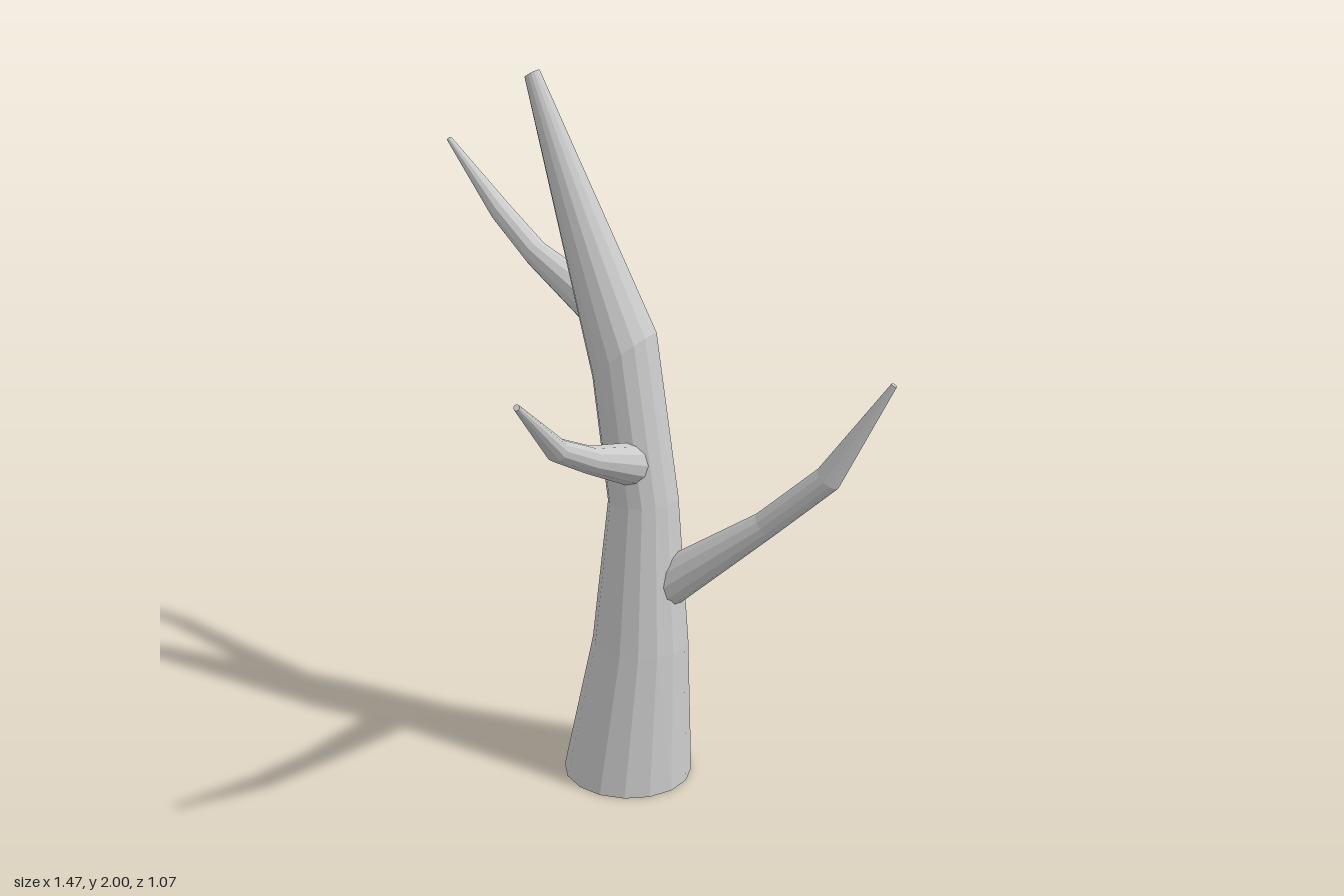
import * as THREE from 'three';

const V = (x, y, z) => new THREE.Vector3(x, y, z);
const bark = new THREE.MeshStandardMaterial({ color: 0xcccccc, flatShading: true, side: THREE.DoubleSide });

// Skin a list of rings { c: centre, u, v: half axes }, open at the start, capped at the tip
function loft(name, rings, sides) {
  const pos = [], idx = [];
  for (const { c, u, v } of rings) {
    for (let i = 0; i < sides; i++) {
      const a = (i / sides) * Math.PI * 2;
      const p = c.clone().addScaledVector(u, Math.cos(a)).addScaledVector(v, Math.sin(a));
      pos.push(p.x, p.y, p.z);
    }
  }
  for (let r = 0; r < rings.length - 1; r++) {
    for (let i = 0; i < sides; i++) {
      const j = (i + 1) % sides, a = r * sides, b = a + sides;
      idx.push(a + i, b + i, a + j, a + j, b + i, b + j);
    }
  }
  const last = (rings.length - 1) * sides;
  for (let i = 1; i < sides - 1; i++) idx.push(last, last + i + 1, last + i);
  const geo = new THREE.BufferGeometry();
  geo.setAttribute('position', new THREE.Float32BufferAttribute(pos, 3));
  geo.setIndex(idx);
  geo.computeVertexNormals();
  const mesh = new THREE.Mesh(geo, bark);
  mesh.name = name;
  return mesh;
}

// Tapered limb along points [x, y, z, radius], each ring square to the local direction
function branch(name, pts) {
  const c = pts.map(([x, y, z]) => V(x, y, z));
  const rings = c.map((p, i) => {
    const prev = c[Math.max(i - 1, 0)], next = c[Math.min(i + 1, c.length - 1)];
    const t = p.clone().sub(prev).normalize().add(next.clone().sub(p).normalize()).normalize();
    const u = V(0, 1, 0).cross(t).normalize();
    const v = u.clone().cross(t);
    return { c: p, u: u.multiplyScalar(pts[i][3]), v: v.multiplyScalar(pts[i][3]) };
  });
  return loft(name, rings, 12);
}

export function createModel() {
  const tree = new THREE.Group();
  tree.name = 'bareTree';

  // Trunk rings: left end x, y, right end x, y, half depth
  const trunk = [
    [-0.187, 0, 0.187, 0, 0.187],
    [-0.1, 0.424, 0.173, 0.424, 0.138],
    [-0.058, 0.843, 0.138, 0.86, 0.097],
    [-0.106, 1.19, 0.064, 1.325, 0.096],
    [-0.315, 1.978, -0.276, 2, 0.022],
  ].map(([xl, yl, xr, yr, d]) => ({
    c: V((xl + xr) / 2, (yl + yr) / 2, -0.243),
    u: V((xr - xl) / 2, (yr - yl) / 2, 0),
    v: V(0, 0, -d),
  }));
  tree.add(loft('trunk', trunk, 16));

  // Three curved branches rooted inside the trunk
  tree.add(branch('leftBranch', [
    [0.09, 0.59, -0.243, 0.07], [0.4, 0.835, -0.245, 0.038],
    [0.57, 0.995, -0.245, 0.037], [0.73, 1.27, -0.245, 0.008],
  ]));
  tree.add(branch('frontBranch', [
    [0.025, 0.96, -0.21, 0.062], [0.053, 1.08, 0.12, 0.036],
    [0.062, 1.165, 0.31, 0.03], [0.075, 1.335, 0.527, 0.008],
  ]));
  tree.add(branch('rightBranch', [
    [-0.08, 1.35, -0.27, 0.062], [-0.37, 1.475, -0.39, 0.037],
    [-0.52, 1.57, -0.458, 0.032], [-0.732, 1.755, -0.53, 0.008],
  ]));
  return tree;
}
